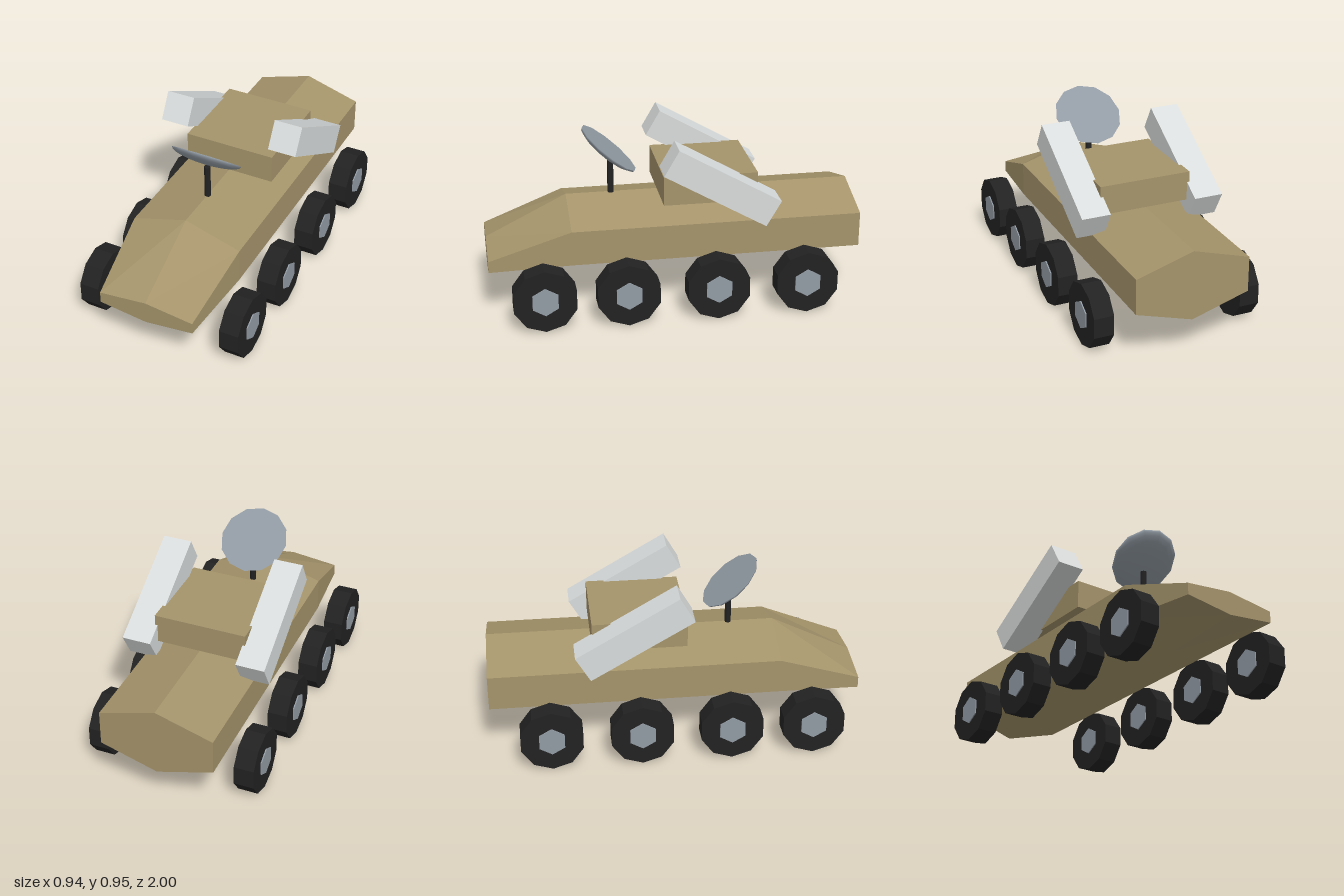
import * as THREE from 'three';

const mat = (name, color) => Object.assign(new THREE.MeshStandardMaterial({ color, flatShading: true }), { name });

// Hexagonal section, counter-clockwise seen from the front
const section = (z, x, top, high, low, bottom) => [
  [0, top, z], [-x, high, z], [-x, low, z], [0, bottom, z], [x, low, z], [x, high, z],
];

// Joins sections running from back to front and caps both ends
function loft(rings) {
  const points = [];
  const n = rings[0].length;
  const tri = (a, b, c) => points.push(...a, ...b, ...c);
  for (let k = 0; k < rings.length - 1; k++) {
    for (let i = 0; i < n; i++) {
      const j = (i + 1) % n;
      const a = rings[k][i], b = rings[k][j], c = rings[k + 1][j], d = rings[k + 1][i];
      tri(a, b, c);
      tri(a, c, d);
    }
  }
  const back = rings[0], front = rings[rings.length - 1];
  for (let i = 1; i < n - 1; i++) {
    tri(back[0], back[i + 1], back[i]);
    tri(front[0], front[i], front[i + 1]);
  }
  const geometry = new THREE.BufferGeometry();
  geometry.setAttribute('position', new THREE.Float32BufferAttribute(points, 3));
  geometry.computeVertexNormals();
  return geometry;
}

export function createModel() {
  const model = new THREE.Group();
  model.name = 'armouredVehicle';

  const tan = mat('tan paint', 0xa5946b);
  const black = mat('black rubber', 0x222222);
  const steel = mat('blue grey steel', 0x929ba4);
  const dishSteel = mat('smooth blue grey steel', 0x929ba4);
  dishSteel.flatShading = false;
  const pale = mat('pale grey', 0xd9dcdc);

  const add = (parent, name, geometry, material, x = 0, y = 0, z = 0) => {
    const mesh = new THREE.Mesh(geometry, material);
    mesh.name = name;
    mesh.position.set(x, y, z);
    parent.add(mesh);
    return mesh;
  };

  // Hull with a tapered nose
  add(model, 'hull', loft([
    section(-1, 0.308, 0.583, 0.49, 0.3, 0.206),
    section(0.56, 0.308, 0.583, 0.49, 0.3, 0.206),
    section(1, 0.265, 0.363, 0.332, 0.27, 0.238),
  ]), tan);

  // Turret
  add(model, 'turret', new THREE.BoxGeometry(0.504, 0.157, 0.505), tan, 0, 0.6615, -0.19);

  // Axle-aligned cylinders with a corner at the top
  const disc = (radius, width, sides) =>
    new THREE.CylinderGeometry(radius, radius, width, sides, 1, false, Math.PI / 2).rotateZ(Math.PI / 2);
  const tyre = disc(0.1735, 0.108, 10);
  const hub = disc(0.078, 0.12, 6);
  const pod = new THREE.BoxGeometry(0.157, 0.158, 0.63);

  for (const [side, label] of [[1, 'left'], [-1, 'right']]) {
    // Four wheels on each side
    [0.72, 0.28, -0.2, -0.68].forEach((z, i) => {
      const wheel = new THREE.Group();
      wheel.name = `${label}Wheel${i + 1}`;
      wheel.position.set(side * 0.408, 0.1735, z);
      add(wheel, 'tyre', tyre, black);
      add(wheel, 'hub', hub, steel);
      model.add(wheel);
    });
    // Raised launcher pod
    add(model, `${label}LauncherPod`, pod, pale, side * 0.3165, 0.715, -0.228).rotation.x = -Math.PI / 6;
  }

  // Dish on a mast, its flat face turned up and back
  add(model, 'mast', new THREE.CylinderGeometry(0.017, 0.017, 0.185, 10), black, 0, 0.6725, 0.315);
  const dish = new THREE.Group();
  dish.name = 'dish';
  dish.position.set(0, 0.832, 0.32);
  dish.rotation.x = -THREE.MathUtils.degToRad(40.3);
  const radius = 0.188;
  const bowl = new THREE.SphereGeometry(radius, 12, 6, 0, Math.PI * 2, Math.PI / 2, Math.PI / 2);
  add(dish, 'dishBowl', bowl.scale(1, 0.042 / radius, 1), dishSteel);
  add(dish, 'dishFace', new THREE.CircleGeometry(radius, 12).rotateX(-Math.PI / 2), steel);
  model.add(dish);

  return model;
}
